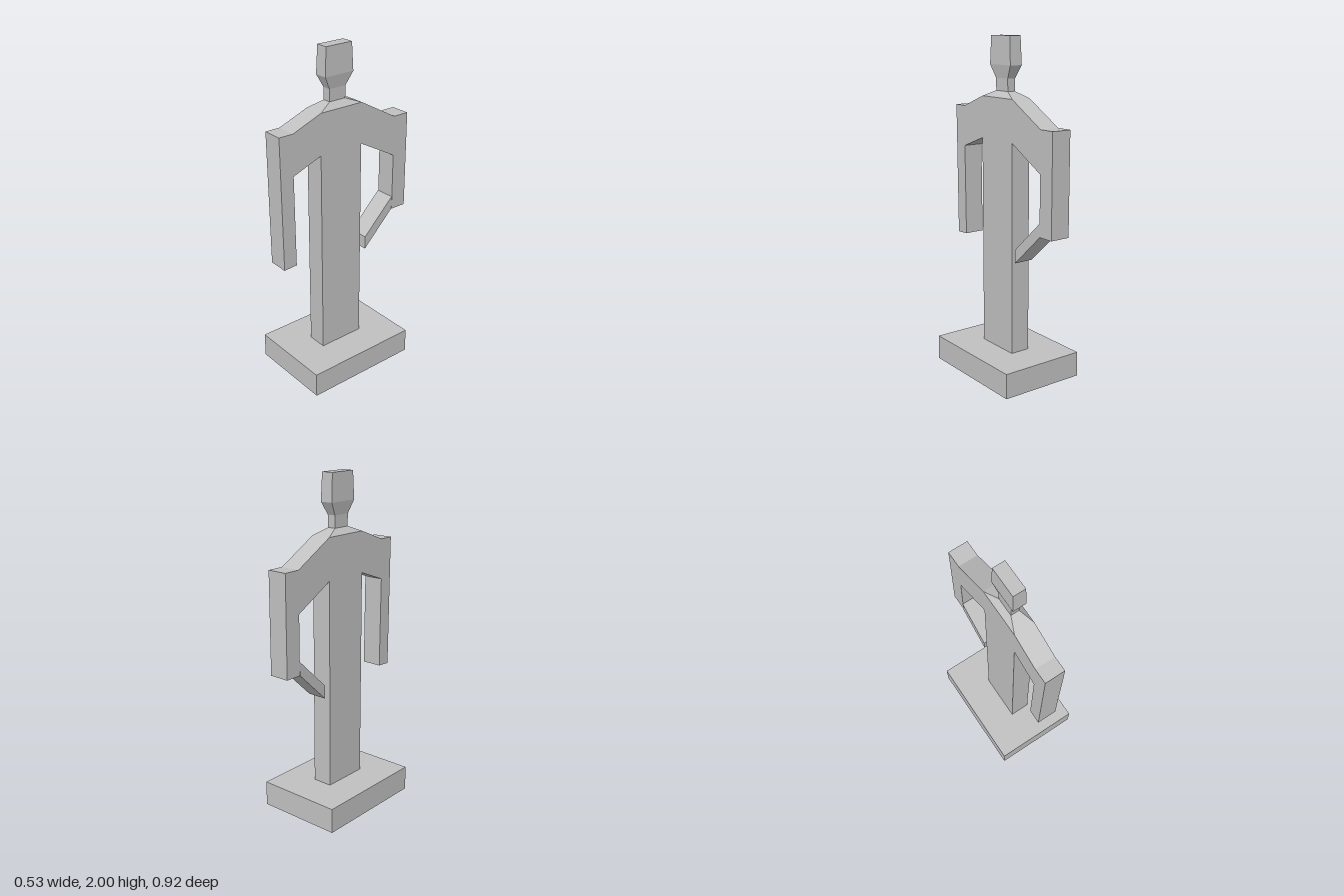
import * as THREE from 'three';

const grey = new THREE.MeshStandardMaterial({ color: 0xc0c0c0 });
grey.name = 'stone grey';

const HALF = 0.061; // half thickness of the figure

// Side outline of [z, y] points, given thickness across x
function slab(name, points) {
  const shape = new THREE.Shape(points.map(([z, y]) => new THREE.Vector2(z, y)));
  const geometry = new THREE.ExtrudeGeometry(shape, { depth: HALF * 2, bevelEnabled: false });
  geometry.translate(0, 0, -HALF);
  geometry.rotateY(-Math.PI / 2);
  const mesh = new THREE.Mesh(geometry, grey);
  mesh.name = name;
  return mesh;
}

// Tapered block between two rectangles { y, x: half width, z: [back, front] }
function taper(name, low, high) {
  const geometry = new THREE.BoxGeometry(1, 1, 1);
  const p = geometry.attributes.position;
  for (let i = 0; i < p.count; i++) {
    const end = p.getY(i) > 0 ? high : low;
    p.setXYZ(i, Math.sign(p.getX(i)) * end.x, end.y, end.z[p.getZ(i) > 0 ? 1 : 0]);
  }
  geometry.computeVertexNormals();
  const mesh = new THREE.Mesh(geometry, grey);
  mesh.name = name;
  return mesh;
}

export function createModel() {
  const model = new THREE.Group();
  model.name = 'statue';

  // Pedestal
  const base = new THREE.Mesh(new THREE.BoxGeometry(0.526, 0.15, 0.715), grey);
  base.name = 'base';
  base.position.set(-0.001, 0.075, 0.037);
  model.add(base);

  // Torso, shoulders and both upper arms in one outline
  model.add(slab('body', [
    [-0.103, 0.15], [0.185, 0.15], [0.185, 1.41],
    [0.373, 1.34], [0.368, 0.79], [0.453, 0.785], [0.46, 1.583], [0.37, 1.583],
    [0.182, 1.655], [-0.105, 1.655],
    [-0.355, 1.515], [-0.457, 1.515], [-0.457, 0.92], [-0.355, 0.92],
    [-0.355, 1.272], [-0.103, 1.41],
  ]));

  // Bent forearm, swung slightly to the left towards its end
  const forearm = slab('forearm', [[-0.355, 0.92], [-0.14, 0.72], [-0.14, 0.8], [-0.355, 1.0]]);
  const p = forearm.geometry.attributes.position;
  for (let i = 0; i < p.count; i++) p.setX(i, p.getX(i) + (p.getZ(i) + 0.28) * 0.035);
  forearm.geometry.computeVertexNormals();
  model.add(forearm);

  // Stacked sections from the collar up to the crown
  const sections = [
    { y: 1.655, x: HALF, z: [-0.105, 0.182] },
    { y: 1.69, x: 0.025, z: [-0.015, 0.095] },
    { y: 1.762, x: 0.026, z: [-0.016, 0.096] },
    { y: 1.837, x: 0.04, z: [-0.059, 0.134] },
    { y: 2, x: 0.037, z: [-0.051, 0.126] },
  ];
  ['collar', 'neck', 'jaw', 'head'].forEach((name, i) =>
    model.add(taper(name, sections[i], sections[i + 1])));

  return model;
}
